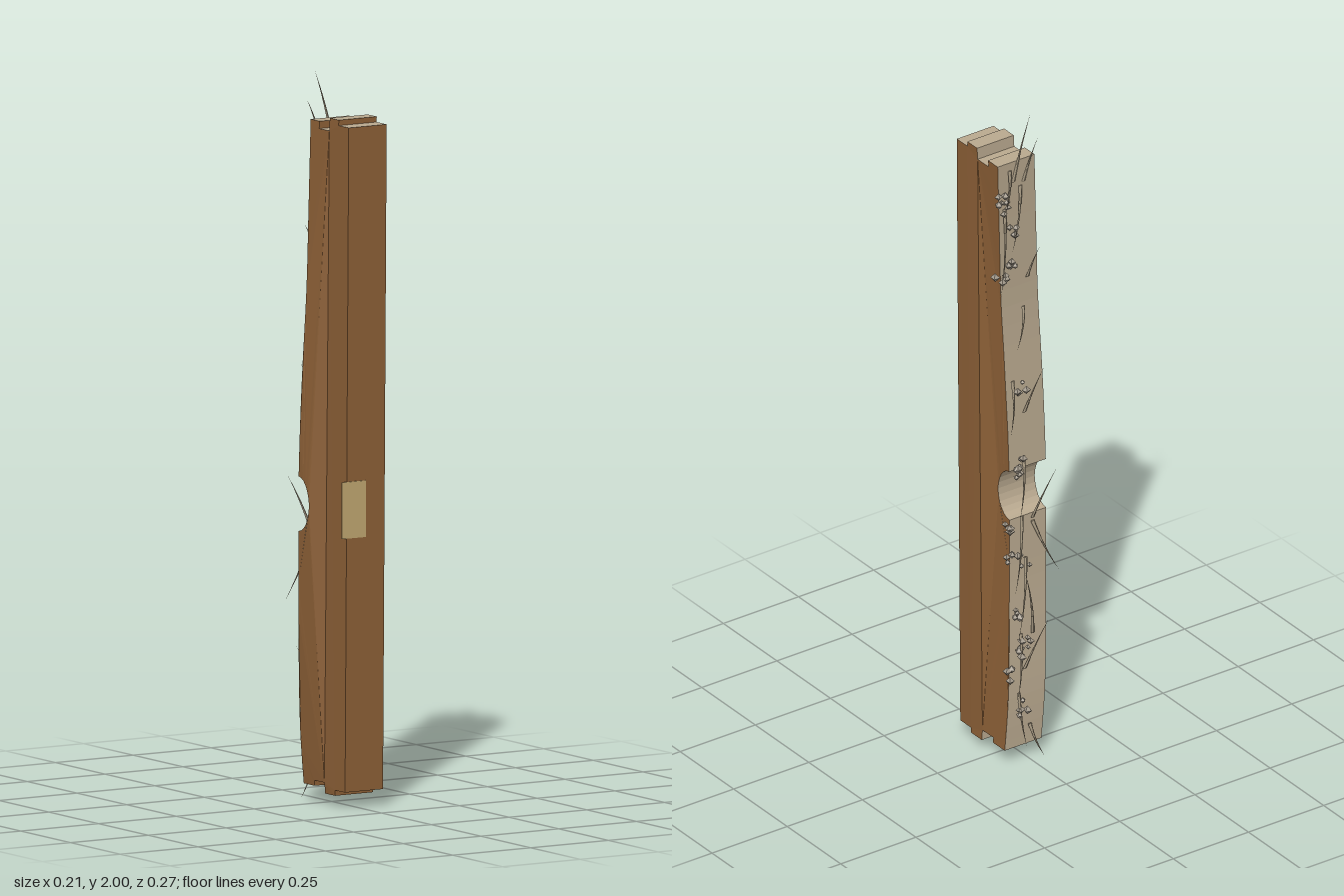
import * as THREE from 'three';
import { mergeGeometries } from 'three/addons/utils/BufferGeometryUtils.js';

const wood = new THREE.MeshStandardMaterial({ color: 0x8b5f36 });
const rawWood = new THREE.MeshStandardMaterial({ color: 0xb9a98f });
const splinterWood = new THREE.MeshStandardMaterial({ color: 0xb0a28a, side: THREE.DoubleSide });
const crumbWood = new THREE.MeshStandardMaterial({ color: 0xa39a8c });
const tagColor = new THREE.MeshStandardMaterial({ color: 0xbfa670 });

let seed = 7;
const rand = () => {
  seed = (seed * 16807) % 2147483647;
  return seed / 2147483647 - 0.5;
};

function addMesh(group, name, geometry, material) {
  const mesh = new THREE.Mesh(geometry, material);
  mesh.name = name;
  group.add(mesh);
}

// Side profile in (z, y): straight front, stepped ends, torn back with a half-round notch
function plankProfile() {
  const spline = (pts) => new THREE.SplineCurve(pts.map((p) => new THREE.Vector2(...p))).getPoints(16);
  const points = [[0.135, 0.045], [0.085, 0.045], [0.085, 0.03], [0.035, 0.03],
    [0.035, 0.06], [-0.015, 0.06], [-0.015, 0.045]].map((p) => new THREE.Vector2(...p));
  points.push(...spline([[-0.07, 0.045], [-0.07, 0.2], [-0.06, 0.38], [-0.05, 0.55], [-0.045, 0.742]]));
  for (let i = 1; i < 12; i++) {
    const a = -Math.PI / 2 + (Math.PI * i) / 12;
    points.push(new THREE.Vector2(-0.045 + 0.053 * Math.cos(a), 0.817 + 0.075 * Math.sin(a)));
  }
  points.push(...spline([[-0.043, 0.892], [-0.036, 1.15], [-0.03, 1.4], [-0.04, 1.62], [-0.055, 1.865]]));
  points.push(...[[-0.01, 1.865], [-0.01, 1.845], [0.04, 1.845], [0.04, 1.88],
    [0.085, 1.88], [0.085, 1.865], [0.135, 1.865]].map((p) => new THREE.Vector2(...p)));
  return new THREE.Shape(points);
}

// Extruded plank: leans slightly, and its back edge bows toward -x
function plankGeometry() {
  const geo = new THREE.ExtrudeGeometry(plankProfile(), { depth: 0.122, bevelEnabled: false, steps: 1 });
  geo.rotateY(-Math.PI / 2);
  const p = geo.attributes.position;
  for (let i = 0; i < p.count; i++) {
    const y = p.getY(i);
    const t = THREE.MathUtils.clamp((y - 0.03) / 1.85, 0, 1);
    const backness = Math.min(1, (0.135 - p.getZ(i)) / 0.13);
    const bow = 0.041 * Math.sin(Math.PI * Math.pow(t, 0.9)) * backness;
    p.setX(i, p.getX(i) + 0.078 + 0.012 * t - bow);
  }
  return geo;
}

// Keep only the triangles whose flat normal passes the test
function pickFaces(geo, test) {
  const p = geo.attributes.position;
  const tri = new THREE.Triangle();
  const n = new THREE.Vector3();
  const out = [];
  for (let i = 0; i < p.count; i += 3) {
    tri.setFromAttributeAndIndices(p, i, i + 1, i + 2);
    tri.getNormal(n);
    if (test(n)) out.push(tri.a.clone(), tri.b.clone(), tri.c.clone());
  }
  const result = new THREE.BufferGeometry().setFromPoints(out);
  result.computeVertexNormals();
  return result;
}

// Curved tapering sliver from root to tip
function splinter([x0, y0, z0, x1, y1, z1]) {
  const geo = new THREE.ConeGeometry(1, 1, 4, 6);
  const p = geo.attributes.position;
  const root = new THREE.Vector3(x0, y0, z0);
  const tip = new THREE.Vector3(x1, y1, z1);
  const mid = root.clone().lerp(tip, 0.5).add(new THREE.Vector3(0.012 * Math.sign(x0 - x1), 0, -0.006));
  const curve = new THREE.QuadraticBezierCurve3(root, mid, tip);
  for (let i = 0; i < p.count; i++) {
    const c = curve.getPoint(p.getY(i) + 0.5);
    p.setXYZ(i, c.x + p.getX(i) * 0.006, c.y, c.z + p.getZ(i) * 0.003);
  }
  geo.computeVertexNormals();
  return geo;
}

// Small clump of octahedral crumbs
function crumbs([x, y, z]) {
  const parts = [];
  for (let i = 0; i < 4; i++) {
    const g = new THREE.OctahedronGeometry(0.011 + 0.006 * rand());
    g.rotateY(rand() * 2);
    g.translate(x + rand() * 0.03, y + rand() * 0.045, z + rand() * 0.022);
    parts.push(g);
  }
  return mergeGeometries(parts);
}

export function createModel() {
  const group = new THREE.Group();
  group.name = 'brokenPlank';

  // Sawn front and sides, then the raw ends, back and notch
  const plank = plankGeometry();
  const sawn = (n) => Math.abs(n.x) > 0.6 || n.z > 0.9;
  addMesh(group, 'plankFaces', pickFaces(plank, sawn), wood);
  addMesh(group, 'tornBackAndEnds', pickFaces(plank, (n) => !sawn(n)), rawWood);

  // Tag on the front face
  const tag = new THREE.BoxGeometry(0.076, 0.155, 0.003);
  tag.translate(-0.017, 0.818, 0.1365);
  addMesh(group, 'frontTag', tag, tagColor);

  // Slivers along the torn back: root x, y, z, tip x, y, z
  const slivers = [
    [0.035, 1.8, -0.052, -0.02, 2.0, -0.056], [0.0, 1.79, -0.05, -0.042, 1.92, -0.06],
    [0.05, 1.84, -0.056, 0.07, 1.7, -0.06], [0.01, 1.78, -0.05, 0.045, 1.58, -0.06],
    [0.06, 1.72, -0.046, 0.085, 1.46, -0.065], [0.0, 1.4, -0.05, 0.035, 1.28, -0.07],
    [-0.02, 1.48, -0.04, -0.05, 1.58, -0.06], [0.04, 1.18, -0.055, 0.06, 1.02, -0.075],
    [-0.01, 1.06, -0.04, -0.06, 1.2, -0.065], [0.0, 0.93, -0.05, 0.04, 0.76, -0.09],
    [-0.03, 0.72, -0.05, -0.105, 0.55, -0.07], [-0.03, 0.73, -0.05, -0.085, 0.89, -0.09],
    [0.02, 0.76, -0.07, 0.06, 0.53, -0.095], [0.0, 0.62, -0.06, 0.05, 0.4, -0.1],
    [-0.02, 0.38, -0.065, 0.03, 0.6, -0.1], [0.03, 0.4, -0.08, 0.055, 0.2, -0.1],
    [0.01, 0.28, -0.07, -0.06, 0.42, -0.085], [0.04, 0.22, -0.085, 0.02, 0.05, -0.095],
    [0.0, 0.11, -0.08, -0.042, 0.0, -0.09],
  ];
  addMesh(group, 'splinters', mergeGeometries(slivers.map(splinter)), splinterWood);

  // Crumb clumps hanging off the torn back: x, y, z
  const clumps = [
    [0.08, 1.76, -0.058], [0.06, 1.72, -0.05], [0.04, 1.64, -0.05], [0.03, 1.54, -0.045],
    [0.08, 1.5, -0.056], [0.02, 1.16, -0.062], [0.03, 0.92, -0.065], [0.02, 0.9, -0.07],
    [0.085, 0.77, -0.113], [0.075, 0.655, -0.085], [0.02, 0.63, -0.08], [0.05, 0.47, -0.09],
    [0.02, 0.38, -0.09], [0.03, 0.33, -0.088], [0.075, 0.295, -0.1], [0.03, 0.17, -0.085],
  ];
  addMesh(group, 'crumbs', mergeGeometries(clumps.map(crumbs)), crumbWood);
  return group;
}
